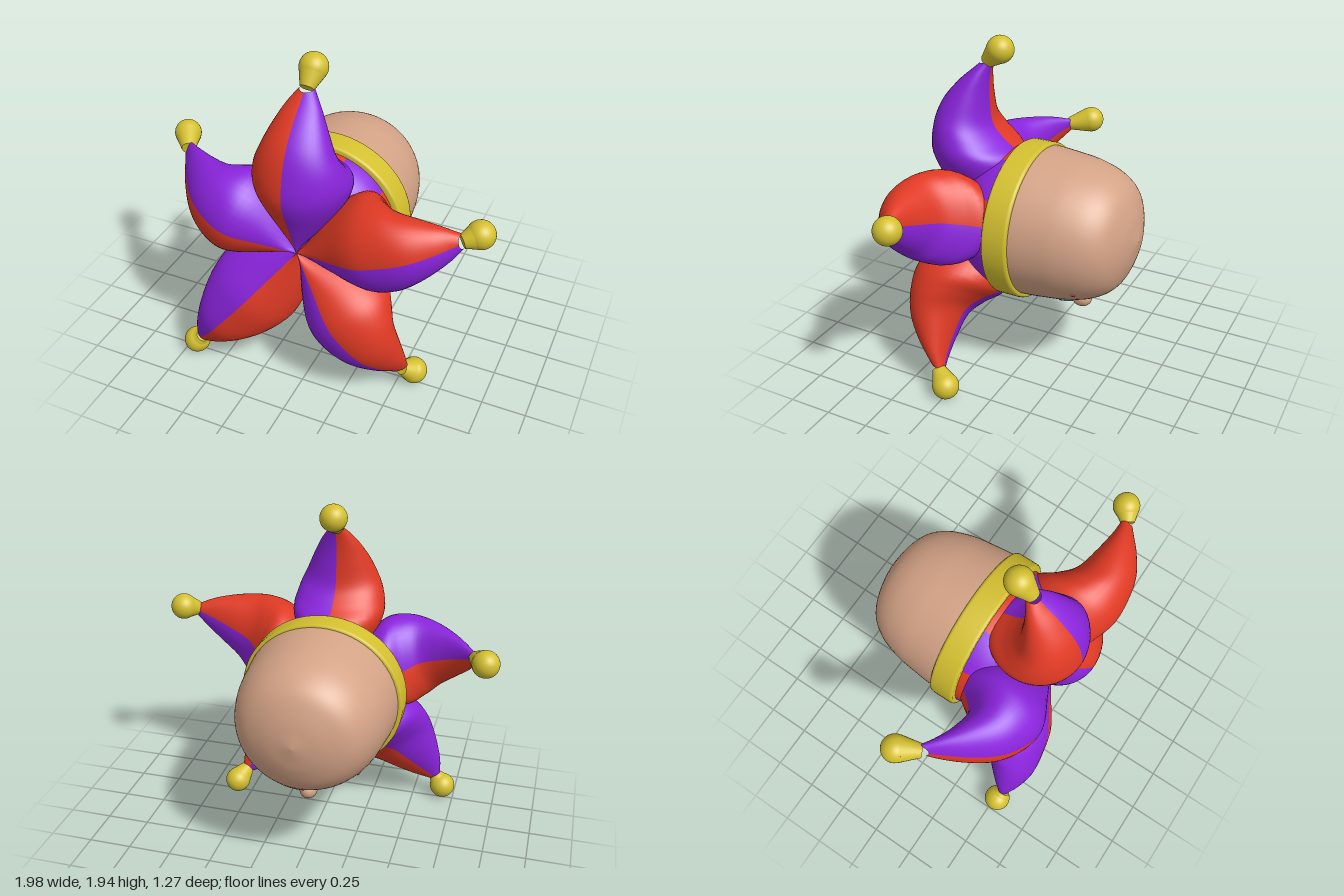
import * as THREE from 'three';

const material = (name, color) => {
  const m = new THREE.MeshStandardMaterial({ color });
  m.name = name;
  return m;
};

// Hat horn cross-sections: front r, front z, back r, back z, half width
const HORN = [
  [0, 0.45, 0, 0.1, 0],
  [0.2, 0.53, 0.2, 0.08, 0.17],
  [0.4, 0.605, 0.4, 0.08, 0.26],
  [0.55, 0.59, 0.48, 0.18, 0.245],
  [0.68, 0.54, 0.56, 0.25, 0.2],
  [0.8, 0.44, 0.7, 0.27, 0.14],
  [0.87, 0.36, 0.83, 0.265, 0.085],
  [0.905, 0.32, 0.92, 0.245, 0.038],
];

// Each horn: angle in degrees, reach of its bell, depth of its bell
const HORNS = [
  [90, 0.99, 0.2],
  [19, 1.005, 0.32],
  [-52, 1.015, 0.24],
  [-128.7, 1.025, 0.52],
  [160.6, 0.935, 0.04],
];

const curve = (points) => new THREE.CatmullRomCurve3(points);
const frontCurve = curve(HORN.map((s) => new THREE.Vector3(s[0], s[4], s[1])));
const backCurve = curve(HORN.map((s) => new THREE.Vector3(s[2], s[4], s[3])));

// Bent horn lofted through oval sections; one colour on each side of its spine
function hornGeometry(reach, tipZ) {
  const rows = 36, sides = 40, positions = [], index = [];
  const k = reach / 0.99;
  const bend = (p) => {
    const s = Math.max(0, (p.x - 0.3) / 0.69);
    return new THREE.Vector3(p.x * k, p.y, p.z + (tipZ - 0.2) * s * s);
  };
  for (let i = 0; i <= rows; i++) {
    const f = bend(frontCurve.getPoint(i / rows));
    const b = bend(backCurve.getPoint(i / rows));
    for (let j = 0; j < sides; j++) {
      const a = (j / sides) * Math.PI * 2, c = Math.cos(a);
      positions.push(
        (f.x + b.x) / 2 + ((f.x - b.x) / 2) * c,
        Math.max(0, f.y) * Math.sin(a),
        (f.z + b.z) / 2 + ((f.z - b.z) / 2) * c
      );
    }
  }
  const geometry = new THREE.BufferGeometry();
  for (let half = 0; half < 2; half++) {
    const start = index.length;
    for (let i = 0; i < rows; i++) {
      for (let n = 0; n < sides / 2; n++) {
        const j = n + (half * sides) / 2, j2 = (j + 1) % sides;
        const a = i * sides + j, b = a + sides;
        const c = (i + 1) * sides + j2, d = i * sides + j2;
        index.push(a, b, c, a, c, d);
      }
    }
    geometry.addGroup(start, index.length - start, half);
  }
  geometry.setAttribute('position', new THREE.Float32BufferAttribute(positions, 3));
  geometry.setIndex(index);
  geometry.computeVertexNormals();
  return geometry;
}

export function createModel() {
  const model = new THREE.Group();
  model.name = 'jesterHead';
  const skin = material('skin', 0xd4a386);
  const gold = material('gold', 0xd4c030);
  const red = material('red', 0xe03a24);
  const purple = material('purple', 0x8a24dc);
  const blue = material('blue', 0x1a6a96);

  const add = (parent, name, geometry, mat, x = 0, y = 0, z = 0) => {
    const mesh = new THREE.Mesh(geometry, mat);
    mesh.name = name;
    mesh.position.set(x, y, z);
    parent.add(mesh);
    return mesh;
  };
  const v2 = (p) => new THREE.Vector2(p[0], p[1]);
  const up = new THREE.Vector3(0, 1, 0);

  // Head, turned so its chin end points back
  const headCurve = new THREE.SplineCurve([
    [0.44, -0.05], [0.438, 0.06], [0.425, 0.2], [0.408, 0.32], [0.365, 0.45],
    [0.29, 0.545], [0.17, 0.6], [0.07, 0.622], [0, 0.634],
  ].map(v2));
  const headPoints = headCurve.getPoints(40);
  headPoints[40].x = 0;
  const head = add(model, 'head', new THREE.LatheGeometry(headPoints, 64).rotateX(-Math.PI / 2), skin, -0.04, 0.925);
  head.scale.y = 0.97;

  // Hat band
  const bandPoints = [
    [0.42, -0.09], [0.448, -0.09], [0.457, -0.084], [0.461, -0.072],
    [0.461, 0.042], [0.457, 0.054], [0.448, 0.06], [0.42, 0.06],
  ].map(v2);
  const band = add(model, 'hatBand', new THREE.LatheGeometry(bandPoints, 64).rotateX(-Math.PI / 2), gold, -0.04, 0.92);
  band.scale.y = 0.966;

  // Face, on the underside of the head
  const onFace = (degrees, radius, z) => {
    const a = THREE.MathUtils.degToRad(degrees);
    return new THREE.Vector3(-0.04 + radius * Math.sin(a), 0.925 - 0.97 * radius * Math.cos(a), z);
  };
  const nose = add(model, 'nose', new THREE.SphereGeometry(1, 24, 16), skin, -0.04, 0.483, -0.31);
  nose.scale.set(0.05, 0.052, 0.06);
  for (const side of [1, -1]) {
    const place = (name, geometry, mat, degrees, radius, z) => {
      const p = onFace(side * degrees, radius, z);
      const mesh = add(model, name, geometry, mat, p.x, p.y, p.z);
      const a = THREE.MathUtils.degToRad(side * degrees);
      mesh.quaternion.setFromUnitVectors(up, new THREE.Vector3(Math.sin(a), -Math.cos(a), -0.15).normalize());
    };
    place('eye', new THREE.CylinderGeometry(0.038, 0.038, 0.009, 24), blue, 26, 0.414, -0.292);
    place('smileCorner', new THREE.BoxGeometry(0.012, 0.009, 0.025), red, 50, 0.391, -0.385);
  }
  const smile = curve([-5, 4, 13, 21].map((d, i) => onFace(d, 0.332, -0.5 + i * 0.002)));
  add(model, 'smile', new THREE.TubeGeometry(smile, 16, 0.006, 6), red);

  // Hat
  const hat = new THREE.Group();
  hat.name = 'hat';
  hat.position.set(-0.04, 0.89, 0);
  model.add(hat);

  // Hat crown in ten alternating panels
  const crownPoints = new THREE.SplineCurve([
    [0, -0.42], [0.2, -0.385], [0.33, -0.29], [0.405, -0.18], [0.43, -0.05],
  ].map(v2)).getPoints(16);
  for (let i = 0; i < 10; i++) {
    const panel = new THREE.LatheGeometry(crownPoints, 8, 0, Math.PI / 5).rotateX(-Math.PI / 2);
    // A lathe starts facing back-to-front along +y here, so panels line up with the horns
    const mesh = add(hat, 'crownPanel', panel, i % 2 ? purple : red, 0, 0.02);
    mesh.rotation.z = Math.PI / 2 + (i * Math.PI) / 5;
  }

  // Horns with their bells
  for (const [degrees, reach, tipZ] of HORNS) {
    const horn = new THREE.Group();
    horn.name = 'horn';
    horn.rotation.z = THREE.MathUtils.degToRad(degrees);
    hat.add(horn);
    add(horn, 'hornCloth', hornGeometry(reach, tipZ), [red, purple]);
    const bell = new THREE.Vector3(reach, 0, tipZ);
    add(horn, 'bell', new THREE.SphereGeometry(0.076, 32, 20), gold, bell.x, 0, bell.z);
    const s = (0.912 - 0.3) / 0.69;
    const tip = new THREE.Vector3((0.912 * reach) / 0.99, 0, 0.283 + (tipZ - 0.2) * s * s);
    const axis = bell.clone().sub(tip);
    const middle = tip.clone().lerp(bell, 0.4);
    const neck = add(horn, 'bellNeck', new THREE.CylinderGeometry(0.072, 0.038, axis.length() * 0.8, 24), gold, middle.x, 0, middle.z);
    neck.quaternion.setFromUnitVectors(up, axis.normalize());
  }
  return model;
}
